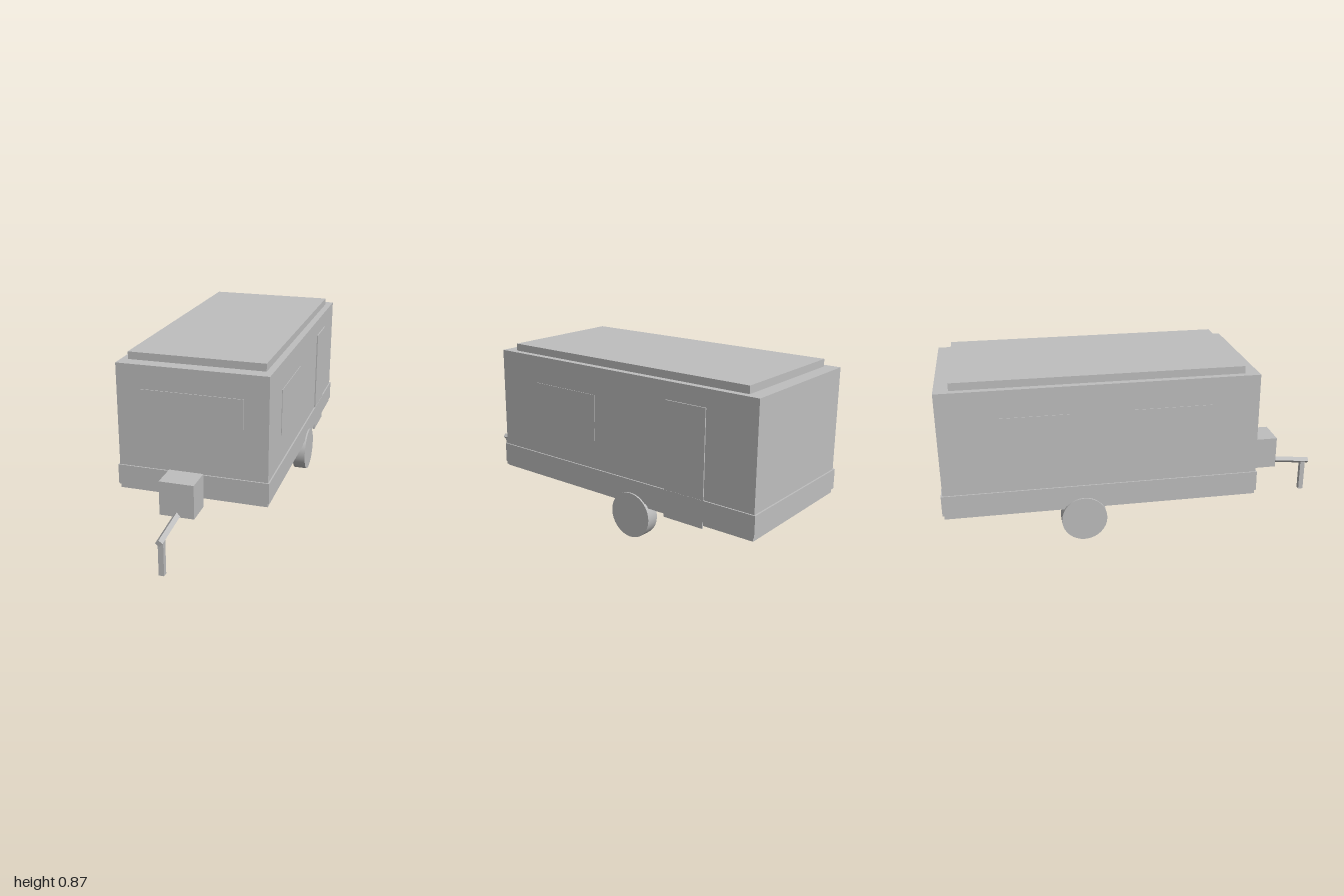
import * as THREE from 'three';

export function createModel() {
  const model = new THREE.Group();
  model.name = 'campingTrailer';
  const grey = new THREE.MeshStandardMaterial({ color: 0xbfbfbf });
  grey.name = 'plain grey';

  const add = (name, geometry) => {
    const mesh = new THREE.Mesh(geometry, grey);
    mesh.name = name;
    model.add(mesh);
    return mesh;
  };
  // Box given by its limits on each axis
  const box = (name, [x0, x1], [y0, y1], [z0, z1]) =>
    add(name, new THREE.BoxGeometry(x1 - x0, y1 - y0, z1 - z0))
      .position.set((x0 + x1) / 2, (y0 + y1) / 2, (z0 + z1) / 2);

  // Cabin, skirt band and raised roof
  box('body', [-0.372, 0.372], [0.188, 0.828], [-0.992, 0.56]);
  box('skirtBand', [-0.379, 0.379], [0.21, 0.312], [-1, 0.567]);
  box('roof', [-0.338, 0.338], [0.828, 0.865], [-0.922, 0.49]);

  // Windows and door as thin plates on the walls
  box('frontWindow', [-0.253, 0.253], [0.473, 0.71], [0.559, 0.564]);
  const sill = [0.457, 0.69];
  box('leftWindow', [0.371, 0.375], sill, [-0.08, 0.32]);
  box('rightFrontWindow', [-0.375, -0.371], sill, [-0.08, 0.32]);
  box('rightRearWindow', [-0.375, -0.371], sill, [-0.71, -0.375]);
  box('door', [0.37, 0.378], [0.175, 0.742], [-0.73, -0.512]);

  // Wheels
  for (const side of [1, -1]) {
    const wheel = add(side > 0 ? 'leftWheel' : 'rightWheel',
      new THREE.CylinderGeometry(0.113, 0.113, 0.067, 32));
    wheel.rotation.z = Math.PI / 2;
    wheel.position.set(side * 0.354, 0.133, -0.316);
  }

  // Four-sided drawbar rising towards the body
  const tip = new THREE.Vector3(0, 0.171, 0.998);
  const root = new THREE.Vector3(0, 0.22, 0.53);
  const along = root.clone().sub(tip);
  const bar = add('drawbar',
    new THREE.CylinderGeometry(0.017, 0.017, along.length(), 4).toNonIndexed());
  bar.geometry.computeVertexNormals();
  bar.position.copy(tip).lerp(root, 0.5);
  bar.quaternion.setFromUnitVectors(new THREE.Vector3(0, 1, 0), along.normalize());

  // Storage box and support leg on the drawbar
  box('storageBox', [-0.084, 0.084], [0.188, 0.356], [0.642, 0.776]);
  box('supportLeg', [-0.013, 0.013], [0, 0.17], [0.954, 0.98]);

  return model;
}
